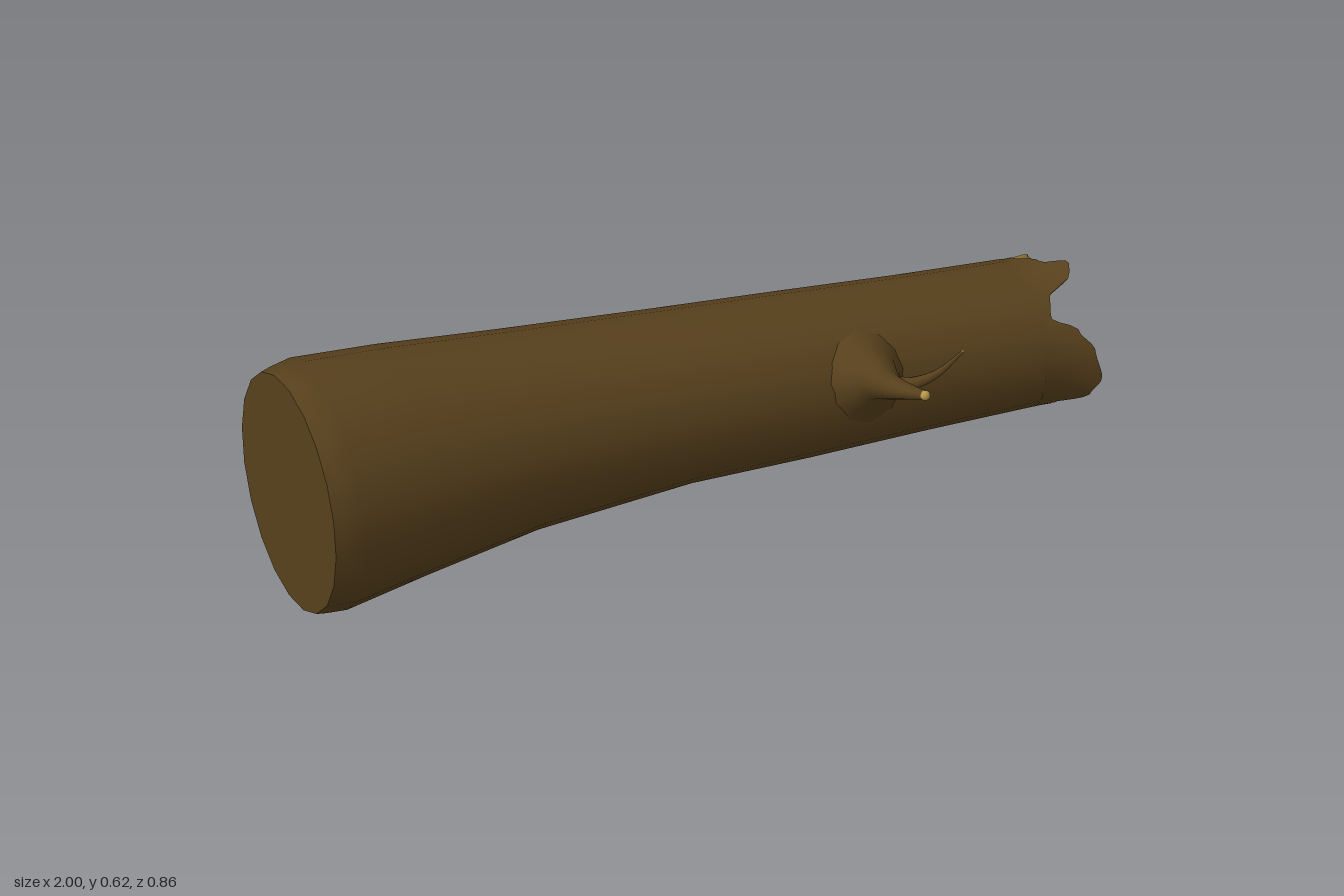
import * as THREE from 'three';

const bark = new THREE.MeshStandardMaterial({ color: 0x57401c });
const wood = new THREE.MeshStandardMaterial({ color: 0xb8964c, side: THREE.DoubleSide });

// Closed skin over rows of rings; point(row, angle) gives each vertex
function skin(rows, cols, point) {
  const pos = [], index = [];
  for (let i = 0; i < rows; i++) {
    for (let j = 0; j < cols; j++) {
      pos.push(...point(i, (j / cols) * Math.PI * 2).toArray());
      if (i === rows - 1) continue;
      const k = (j + 1) % cols;
      const a = i * cols + j, b = a + cols, c = (i + 1) * cols + k, d = i * cols + k;
      index.push(a, b, d, b, c, d);
    }
  }
  const geo = new THREE.BufferGeometry();
  geo.setAttribute('position', new THREE.Float32BufferAttribute(pos, 3));
  geo.setIndex(index);
  geo.computeVertexNormals();
  return geo;
}

// Point on a ring around the x axis; angle 0 faces the front, 90 degrees the top
const ring = (x, cy, cz, r, a) =>
  new THREE.Vector3(x, cy + r * Math.sin(a), cz + r * Math.cos(a));

// Tapering limb through points [x, y, z, radius]
function limb(points, rows, cols) {
  const curve = new THREE.CatmullRomCurve3(points.map(p => new THREE.Vector3(p[0], p[1], p[2])));
  const radii = new THREE.SplineCurve(points.map((p, i) => new THREE.Vector2(i, p[3])));
  const frames = curve.computeFrenetFrames(rows - 1);
  return skin(rows, cols, (i, a) => {
    const u = i / (rows - 1);
    const r = radii.getPoint(curve.getUtoTmapping(u)).y;
    return curve.getPointAt(u)
      .addScaledVector(frames.normals[i], r * Math.cos(a))
      .addScaledVector(frames.binormals[i], -r * Math.sin(a));
  });
}

// Broken edge: [angle in degrees, x reached, outer radius]
const EDGE = [
  [-45, 0.90, 0.182], [-25, 0.98, 0.205], [-8, 1.0, 0.213], [14, 0.985, 0.212], [29, 0.955, 0.2],
  [42, 0.90, 0.182], [58, 0.91, 0.183], [70, 0.975, 0.2], [80, 0.985, 0.203], [93, 0.93, 0.186],
  [115, 0.89, 0.18], [135, 0.89, 0.18], [152, 0.965, 0.195], [168, 0.995, 0.2], [192, 0.99, 0.197],
  [206, 0.95, 0.19], [217, 0.92, 0.183], [230, 0.97, 0.188], [250, 1.0, 0.193], [275, 0.985, 0.19],
  [292, 0.94, 0.184], [315, 0.90, 0.182],
];
function edgeAt(a) {
  let deg = THREE.MathUtils.radToDeg(a);
  if (deg > 315) deg -= 360;
  const k = Math.max(1, EDGE.findIndex(e => e[0] >= deg));
  const [p, q] = [EDGE[k - 1], EDGE[k]];
  const t = THREE.MathUtils.smoothstep(deg, p[0], q[0]);
  return { x: p[1] + (q[1] - p[1]) * t, r: p[2] + (q[2] - p[2]) * t };
}

export function createModel() {
  const group = new THREE.Group();
  const add = (name, geo, mat) => {
    const mesh = new THREE.Mesh(geo, mat);
    mesh.name = name;
    group.add(mesh);
    return mesh;
  };

  // Trunk: [x, centre y, centre z, radius]
  const trunk = [
    [-1, 0.31, -0.112, 0.298], [-0.975, 0.31, -0.115, 0.303], [-0.92, 0.31, -0.121, 0.31],
    [-0.7, 0.312, -0.137, 0.284], [-0.4, 0.314, -0.147, 0.246], [0, 0.315, -0.135, 0.215],
    [0.3, 0.316, -0.108, 0.204], [0.6, 0.316, -0.085, 0.19], [0.87, 0.315, -0.066, 0.181],
  ];
  add('trunk', skin(trunk.length, 20, (i, a) => ring(...trunk[i], a)), bark);

  // Flat butt at the thick end
  const butt = add('trunkButt', new THREE.CircleGeometry(0.298, 20).rotateY(-Math.PI / 2), bark);
  butt.position.set(-1, 0.31, -0.112);

  // Splintered end: bark outside, bare wood on the lip and inside
  const cy = 0.315, cz = -0.065, base = 0.865;
  add('splinterBark', skin(5, 96, (i, a) => {
    const e = edgeAt(a), t = i / 4;
    return ring(base + (e.x - base) * t, cy, cz, 0.1805 + (e.r - 0.1805) * t * t, a);
  }), bark);
  add('splinterWood', skin(6, 96, (i, a) => {
    const e = edgeAt(a);
    if (i === 0) return ring(e.x, cy, cz, e.r, a);
    const t = (5 - i) / 4;
    return ring(base + (e.x - 0.004 - base) * t, cy, cz, 0.163 + (e.r - 0.012 - 0.163) * t * t, a);
  }), wood);
  const heart = add('brokenWoodFace', new THREE.CircleGeometry(0.166, 48).rotateY(Math.PI / 2), wood);
  heart.position.set(base + 0.003, cy, cz);

  // Branch with a flared root and a small side twig
  add('branch', limb([
    [0.42, 0.37, 0.02, 0.13], [0.42, 0.405, 0.09, 0.085], [0.42, 0.432, 0.14, 0.056],
    [0.415, 0.462, 0.21, 0.038], [0.408, 0.508, 0.3, 0.026], [0.43, 0.56, 0.42, 0.012],
  ], 22, 12), bark);
  add('twig', limb([
    [0.41, 0.485, 0.25, 0.024], [0.45, 0.502, 0.285, 0.017],
    [0.51, 0.528, 0.302, 0.01], [0.58, 0.565, 0.29, 0.004],
  ], 12, 8), bark);

  // Bare ends of the branch and twig
  for (const [name, r, ...p] of [
    ['branchTip', 0.0125, 0.43, 0.56, 0.42], ['twigTip', 0.004, 0.58, 0.565, 0.29],
  ]) add(name, new THREE.SphereGeometry(r, 10, 8), wood).position.set(...p);

  return group;
}
